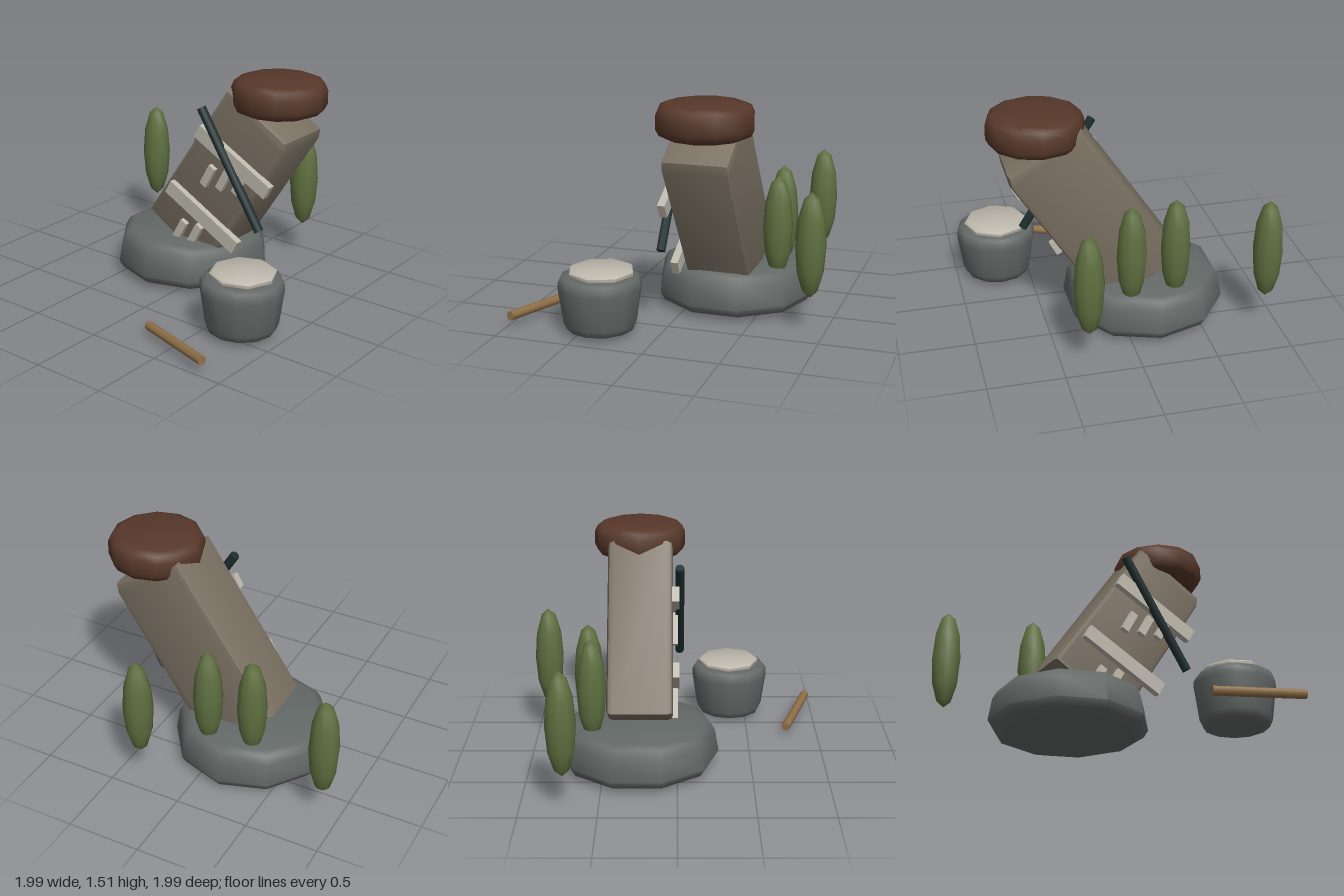
import * as THREE from 'three';
import { toCreasedNormals } from 'three/addons/utils/BufferGeometryUtils.js';

const material = (name, color) => {
  const m = new THREE.MeshStandardMaterial({ color });
  m.name = name;
  return m;
};

export function createModel() {
  const group = new THREE.Group();
  const stone = material('grey stone', 0x636967);
  const slabStone = material('warm stone', 0x7a7062);
  const soil = material('dark brown', 0x57382a);
  const leaf = material('leaf green', 0x5f7040);
  const pale = material('pale stone', 0xbdb8ac);
  const dark = material('dark teal', 0x1e2e2e);
  const wood = material('wood', 0x8f7048);

  const add = (name, geometry, mat, x = 0, y = 0, z = 0) => {
    const mesh = new THREE.Mesh(geometry, mat);
    mesh.name = name;
    mesh.position.set(x, y, z);
    group.add(mesh);
    return mesh;
  };
  // Round worn stone turned from a [radius, height] profile
  const turned = (profile, sides) => toCreasedNormals(
    new THREE.LatheGeometry(profile.map(([r, y]) => new THREE.Vector2(r, y)), sides), 0.9);
  // Straight rod between two points
  const rod = (name, a, b, radius, mat) => {
    const from = new THREE.Vector3(...a), to = new THREE.Vector3(...b);
    const dir = to.clone().sub(from);
    const mesh = add(name, new THREE.CylinderGeometry(radius, radius, dir.length(), 8), mat);
    mesh.position.copy(from).add(to).multiplyScalar(0.5);
    mesh.quaternion.setFromUnitVectors(new THREE.Vector3(0, 1, 0), dir.normalize());
  };

  // Base stone and top cap
  add('baseStone', turned([[0, 0], [0.44, 0.015], [0.51, 0.04], [0.54, 0.09], [0.515, 0.24],
    [0.485, 0.295], [0.44, 0.315], [0, 0.32]], 10), stone, -0.185, 0, -0.26);
  add('topCap', turned([[0, 1.285], [0.25, 1.29], [0.295, 1.31], [0.315, 1.35], [0.315, 1.44],
    [0.295, 1.485], [0.25, 1.505], [0, 1.51]], 12), soil, 0.525, 0, -0.26);

  // Leaning slab: outline inset by the bevel
  const bevel = 0.035;
  const outline = [[-0.355, 0.455], [0.275, 1.39], [0.695, 1.14], [0.69, 1.105], [0.11, 0.2], [0.06, 0.2]];
  const slab = new THREE.ExtrudeGeometry(
    new THREE.Shape(outline.map(([x, y]) => new THREE.Vector2(x, y))),
    { depth: 0.44 - 2 * bevel, bevelSize: bevel, bevelThickness: bevel, bevelSegments: 2, steps: 1 });
  add('leaningSlab', toCreasedNormals(slab, 0.7), slabStone, 0, 0, -0.47 + bevel);

  // Pale bars and short marks on the slab's front
  const tilt = -0.5;
  for (const [x, y] of [[0.345, 0.97], [0.095, 0.52]]) {
    add('paleBar', new THREE.BoxGeometry(0.65, 0.1, 0.05), pale, x, y, -0.01).rotation.z = tilt;
  }
  for (const [x, y] of [[0.14, 0.82], [0.27, 0.82], [0.4, 0.82], [-0.1, 0.37], [0.03, 0.37]]) {
    add('paleMark', new THREE.BoxGeometry(0.055, 0.16, 0.04), pale, x, y, -0.015).rotation.z = tilt;
  }

  // Dark rod across the slab, wooden stick on the ground
  rod('darkRod', [0.1, 1.295, 0.017], [0.58, 0.54, 0.017], 0.031, dark);
  rod('woodenStick', [0.27, 0.063, 0.775], [0.845, 0.085, 0.965], 0.031, wood);

  // Bowl with a pale octagonal lid
  add('bowl', turned([[0, 0.015], [0.18, 0.02], [0.22, 0.035], [0.24, 0.08], [0.272, 0.31],
    [0.272, 0.35], [0.255, 0.38], [0.22, 0.39], [0, 0.39]], 12), stone, 0.715, 0, 0.385);
  add('bowlLid', turned([[0, 0.385], [0.205, 0.385], [0.218, 0.4], [0.218, 0.42],
    [0.2, 0.433], [0, 0.433]], 8), pale, 0.715, 0, 0.375);

  // Slender shrubs behind
  const shrub = new THREE.SphereGeometry(1, 10, 6).scale(0.1, 0.35, 0.1);
  for (const [x, z] of [[-0.9, -0.72], [0.325, -0.9], [-0.325, -0.565], [-0.022, -0.6]]) {
    add('shrub', shrub, leaf, x, 0.588, z);
  }
  return group;
}
